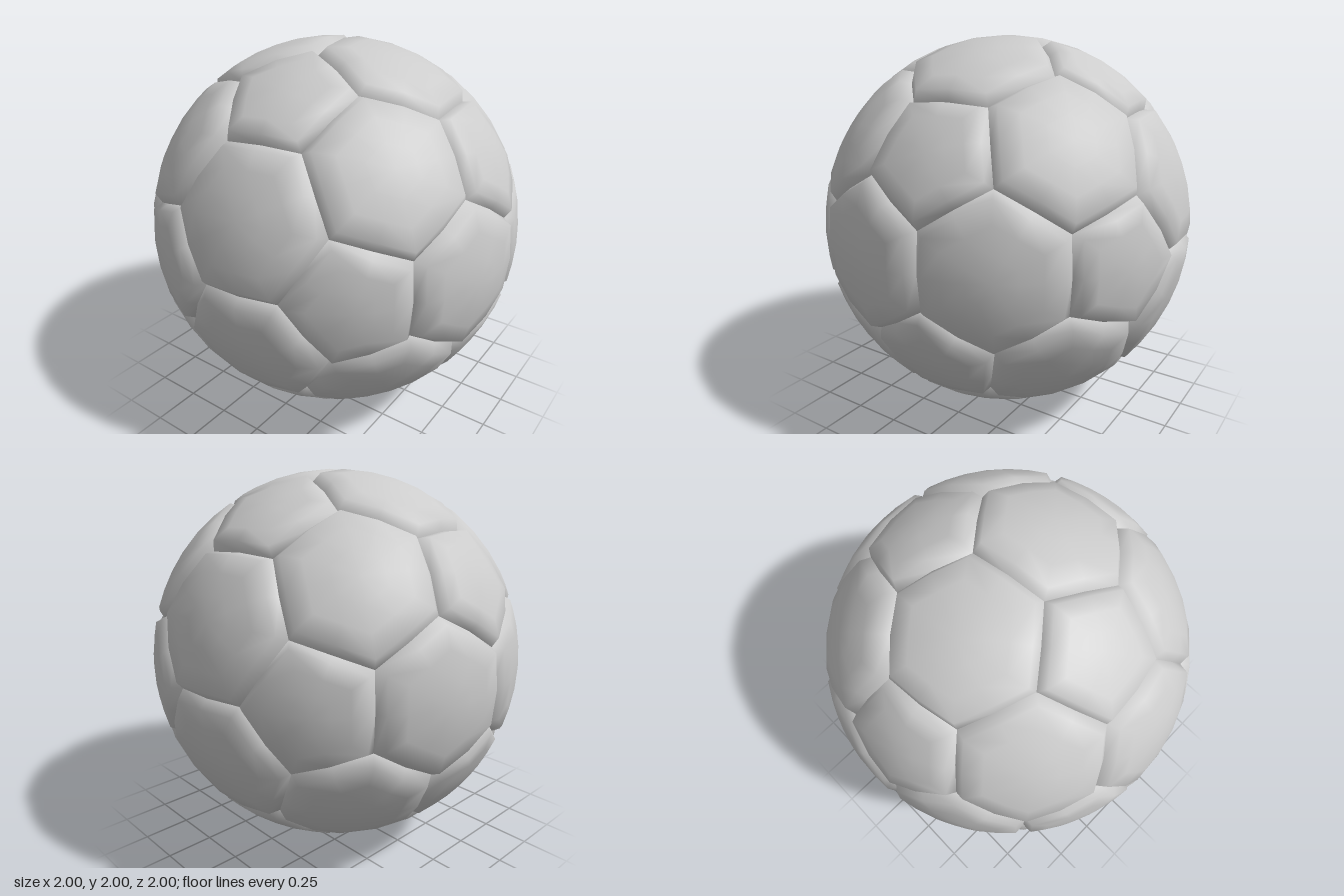
import * as THREE from 'three';

const SEAM_RADIUS = 0.957;
// [fraction from panel centre to seam, radius]
const RINGS = [[0.3, 1], [0.6, 1], [0.87, 1], [1, SEAM_RADIUS]];
const STEPS = 2; // divisions along each panel side

// One padded panel: concentric rings on the sphere, dropping into the seam
function panelGeometry(corners) {
  const centre = new THREE.Vector3();
  corners.forEach((c) => centre.addScaledVector(c, 1 / corners.length));
  const axis = centre.clone().normalize();
  const u = corners[0].clone().sub(centre).normalize();
  const v = axis.clone().cross(u);
  const angle = (p) => Math.atan2(p.clone().sub(centre).dot(v), p.clone().sub(centre).dot(u));
  const sorted = [...corners].sort((a, b) => angle(a) - angle(b));

  const outline = [];
  sorted.forEach((c, i) => {
    const next = sorted[(i + 1) % sorted.length];
    for (let s = 0; s < STEPS; s++) outline.push(c.clone().lerp(next, s / STEPS));
  });

  const n = outline.length;
  const positions = [...axis.toArray()];
  const index = [];
  RINGS.forEach(([t, radius], r) => {
    outline.forEach((p, i) => {
      positions.push(...centre.clone().lerp(p, t).setLength(radius).toArray());
      const j = (i + 1) % n;
      const a = 1 + r * n + i, b = 1 + r * n + j;
      if (r === 0) index.push(0, a, b);
      else index.push(a - n, a, b, a - n, b, b - n);
    });
  });
  const geometry = new THREE.BufferGeometry();
  geometry.setAttribute('position', new THREE.Float32BufferAttribute(positions, 3));
  geometry.setIndex(index);
  geometry.computeVertexNormals();
  return geometry;
}

export function createModel() {
  const group = new THREE.Group();
  group.name = 'ball';
  const grey = new THREE.MeshStandardMaterial({ color: 0xcccccc });
  grey.name = 'light grey';

  // Icosahedron points, whose truncation gives the panel corners
  const phi = (1 + Math.sqrt(5)) / 2;
  const points = [];
  for (const a of [-1, 1]) for (const b of [-phi, phi]) {
    points.push(new THREE.Vector3(0, a, b), new THREE.Vector3(a, b, 0), new THREE.Vector3(b, 0, a));
  }
  const adjacent = (p, q) => Math.abs(p.distanceTo(q) - 2) < 0.01;
  const cut = (p, q) => p.clone().lerp(q, 1 / 3);

  const addPanel = (name, corners) => {
    const mesh = new THREE.Mesh(panelGeometry(corners), grey);
    mesh.name = name;
    group.add(mesh);
  };

  // Twelve pentagons around the points
  points.forEach((p) => {
    addPanel('pentagonPanel', points.filter((q) => adjacent(p, q)).map((q) => cut(p, q)));
  });

  // Twenty hexagons, one per triangle of neighbouring points
  points.forEach((p, i) => points.forEach((q, j) => points.forEach((r, k) => {
    if (i < j && j < k && adjacent(p, q) && adjacent(q, r) && adjacent(p, r)) {
      addPanel('hexagonPanel', [cut(p, q), cut(q, p), cut(q, r), cut(r, q), cut(r, p), cut(p, r)]);
    }
  })));

  group.rotation.y = THREE.MathUtils.degToRad(8.2);
  group.position.y = 1;
  return group;
}
